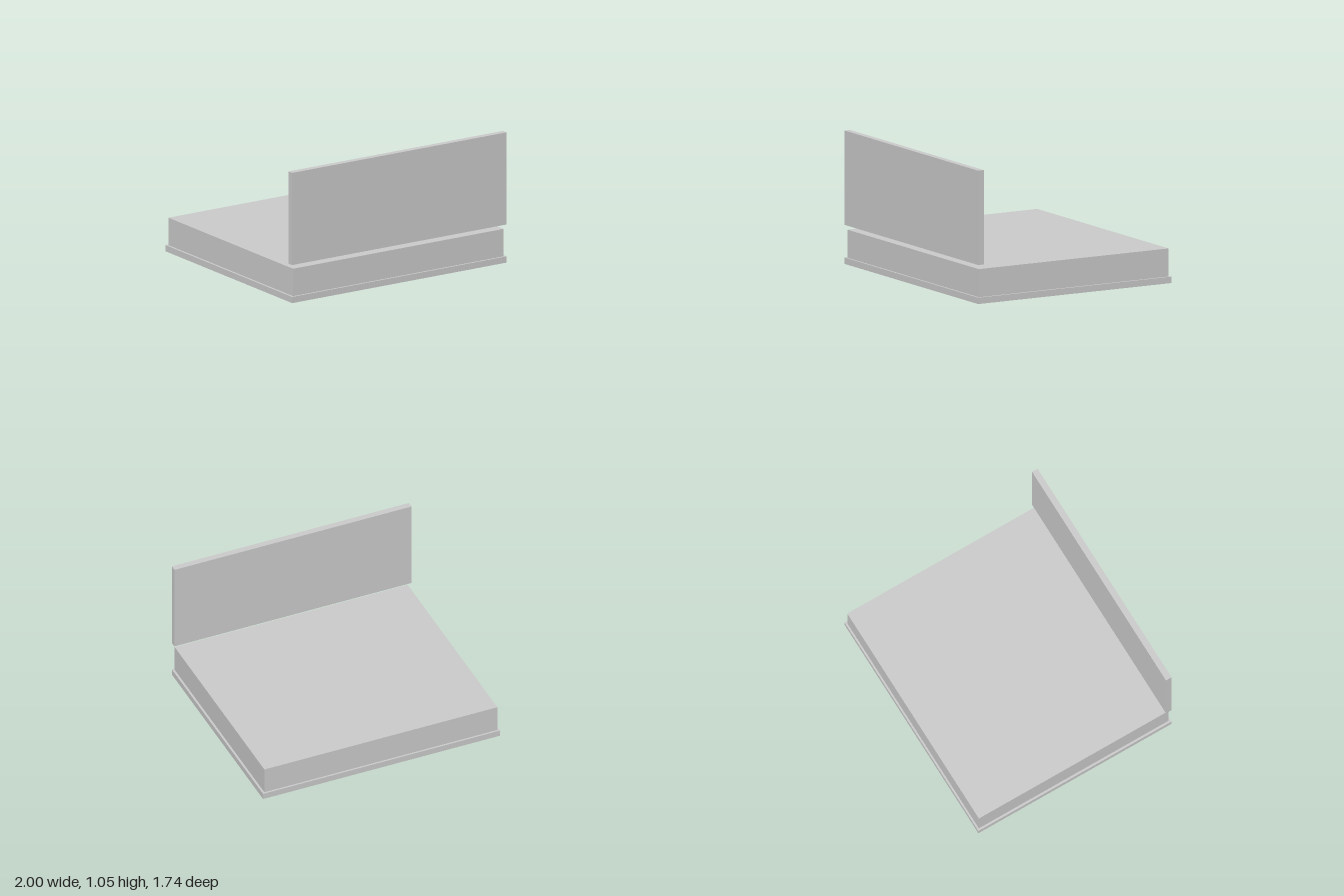
import * as THREE from 'three';

export function createModel() {
  const model = new THREE.Group();
  model.name = 'bed';
  const grey = new THREE.MeshStandardMaterial({ color: 0xcccccc });
  grey.name = 'light grey';

  // Adds a box given its size, bottom height and centre depth
  const addBox = (name, width, height, depth, bottom, z = 0) => {
    const mesh = new THREE.Mesh(new THREE.BoxGeometry(width, height, depth), grey);
    mesh.name = name;
    mesh.position.set(0, bottom + height / 2, z);
    model.add(mesh);
  };

  addBox('basePlatform', 2, 0.05, 1.74, 0);
  addBox('mattress', 1.965, 0.22, 1.71, 0.05);
  // Upright board, floating just above the mattress at the front edge
  addBox('headboard', 2, 0.74, 0.05, 0.306, 0.845);

  return model;
}
